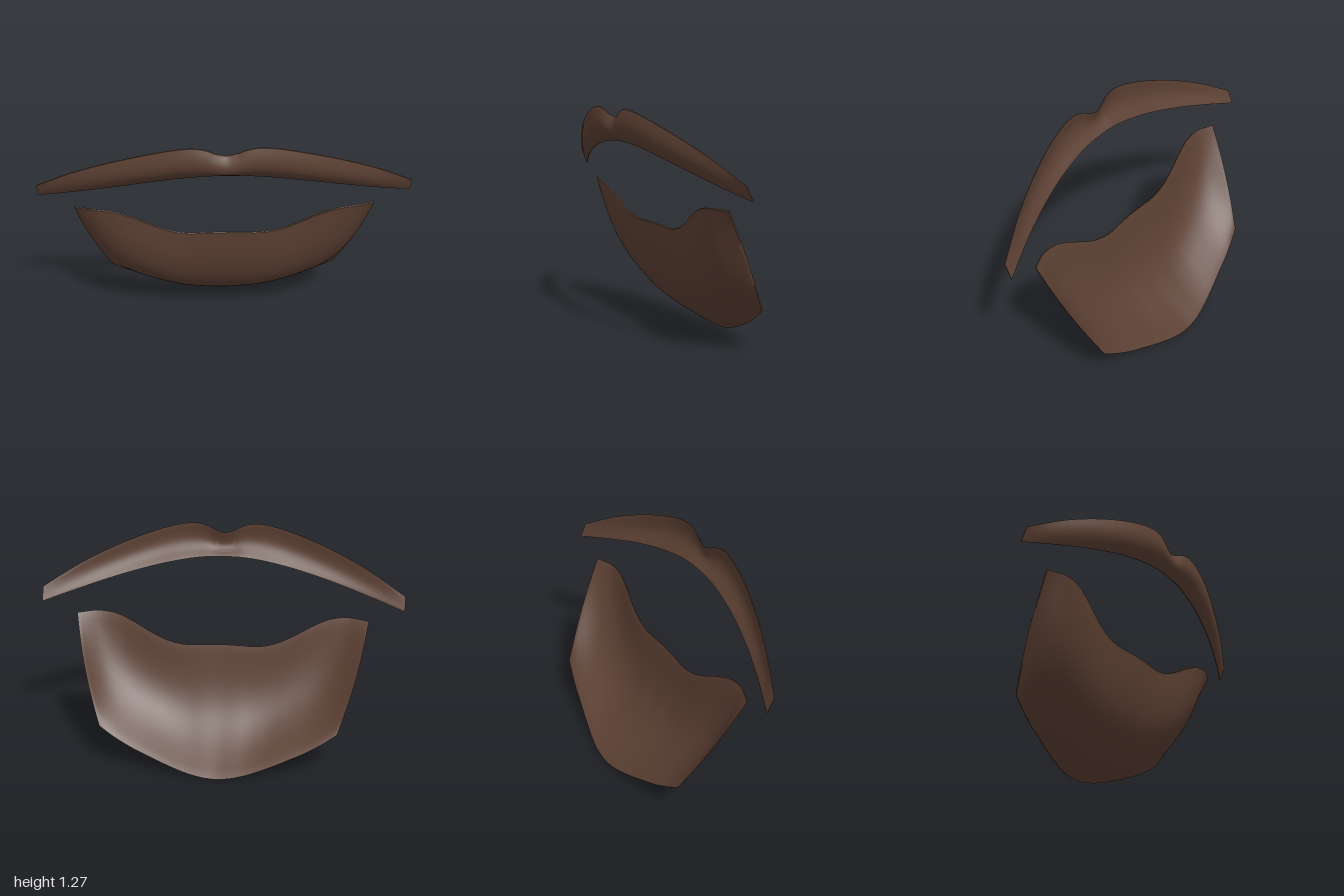
import * as THREE from 'three';
import { toCreasedNormals } from 'three/addons/utils/BufferGeometryUtils.js';

const material = new THREE.MeshStandardMaterial({ color: 0x5c4033 });

// Smooth curve through the points of one half, mirrored over x = 0.
function mirroredCurve(half) {
  const right = half.map(([x, y, z]) => new THREE.Vector3(x, y, z));
  const left = right.slice(1).reverse().map((p) => new THREE.Vector3(-p.x, p.y, p.z));
  return new THREE.CatmullRomCurve3([...left, ...right]);
}

// Thin curved shell between a top edge and a bottom edge.
// Each column is a closed loop: bulging front downwards, then the back upwards.
function shell({ name, top, bottom, bulge, power, outward, widen = 0, thickness, columns, rows }) {
  const topCurve = mirroredCurve(top);
  const bottomCurve = mirroredCurve(bottom);
  const positions = [];
  const index = [];
  const ring = 2 * (rows + 1);

  for (let i = 0; i <= columns; i++) {
    const u = i / columns;
    const a = topCurve.getPoint(u);
    const b = bottomCurve.getPoint(u);
    const s = a.x / top[top.length - 1][0];
    const fullness = Math.max(0, 1 - Math.abs(s) ** power);
    const front = [];
    const back = [];
    for (let j = 0; j <= rows; j++) {
      const t = j / rows;
      const arch = Math.sin(Math.PI * t);
      const p = a.clone().lerp(b, t).addScaledVector(outward, bulge * fullness * arch);
      p.x += widen * s * arch;
      const depth = thickness * (0.35 + 0.65 * Math.sqrt(arch * fullness + 1e-9));
      front.push(p);
      back.unshift(p.clone().addScaledVector(outward, -depth));
    }
    for (const p of [...front, ...back]) positions.push(p.x, p.y, p.z);
  }

  for (let i = 0; i < columns; i++) {
    for (let j = 0; j < ring; j++) {
      const k = (j + 1) % ring;
      const a = i * ring + j, b = i * ring + k;
      index.push(a, b, a + ring, b, b + ring, a + ring);
    }
  }
  // Side rims
  const last = columns * ring;
  for (let j = 0; j < rows; j++) {
    const f = j, g = j + 1, h = ring - 2 - j, k = ring - 1 - j;
    index.push(last + f, last + g, last + h, last + f, last + h, last + k);
    index.push(f, h, g, f, k, h);
  }

  const geometry = new THREE.BufferGeometry();
  geometry.setAttribute('position', new THREE.Float32BufferAttribute(positions, 3));
  geometry.setIndex(index);
  const mesh = new THREE.Mesh(toCreasedNormals(geometry, Math.PI / 4), material);
  mesh.name = name;
  return mesh;
}

export function createModel() {
  const group = new THREE.Group();
  group.name = 'facialHair';

  // Moustache: drooping arc with a notch in the middle of its top edge
  group.add(shell({
    name: 'moustache',
    top: [[0, 1.215, 0.305], [0.05, 1.228, 0.31], [0.1, 1.252, 0.317], [0.16, 1.265, 0.32], [0.25, 1.258, 0.315],
      [0.4, 1.22, 0.29], [0.6, 1.15, 0.237], [0.8, 1.06, 0.168], [1, 0.945, 0.085]],
    bottom: [[0, 1.087, 0.27], [0.05, 1.086, 0.27], [0.1, 1.084, 0.268], [0.16, 1.078, 0.265], [0.25, 1.065, 0.255],
      [0.4, 1.035, 0.233], [0.6, 0.985, 0.188], [0.8, 0.928, 0.126], [1, 0.87, 0.05]],
    bulge: 0.042, power: 2, outward: new THREE.Vector3(0, -0.3, 0.95),
    thickness: 0.014, columns: 80, rows: 14,
  }));

  // Beard: broad shell sweeping down and back, with turned-in sides
  group.add(shell({
    name: 'beard',
    top: [[0, 0.63, 0.078], [0.1, 0.628, 0.076], [0.2, 0.625, 0.074], [0.3, 0.645, 0.077], [0.4, 0.69, 0.086],
      [0.5, 0.745, 0.1], [0.6, 0.788, 0.112], [0.7, 0.803, 0.108], [0.76, 0.802, 0.088], [0.81, 0.8, 0.068]],
    bottom: [[0, 0, -0.335], [0.08, 0.007, -0.333], [0.16, 0.023, -0.322], [0.24, 0.047, -0.308], [0.32, 0.076, -0.293],
      [0.4, 0.108, -0.277], [0.48, 0.142, -0.263], [0.56, 0.184, -0.247], [0.61, 0.214, -0.235], [0.655, 0.245, -0.225]],
    bulge: 0.12, power: 6, outward: new THREE.Vector3(0, -0.553, 0.833), widen: 0.018,
    thickness: 0.022, columns: 90, rows: 28,
  }));

  return group;
}
